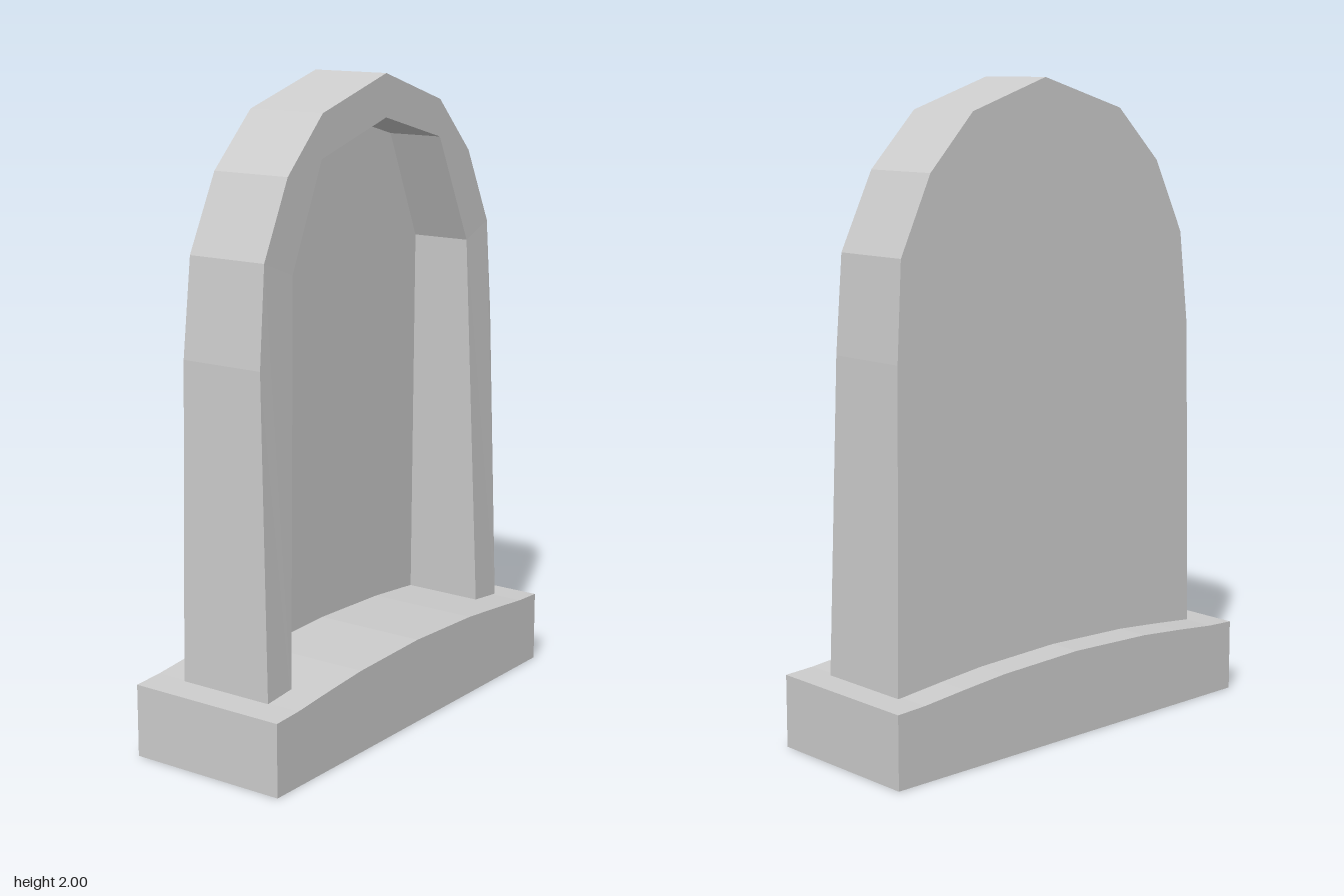
import * as THREE from 'three';

const material = new THREE.MeshStandardMaterial({ color: 0xcccccc, flatShading: true });

// Side outlines as [z, y]
const outer = [
  [0.615, 0.2], [0.61, 1.21], [0.58, 1.51], [0.47, 1.74], [0.305, 1.905], [-0.01, 2],
  [-0.3, 1.905], [-0.465, 1.735], [-0.58, 1.5], [-0.6, 1.2], [-0.625, 0.2],
];
const inner = [
  [0.505, 0.2], [0.45, 1.46], [0.31, 1.775], [-0.01, 1.87], [-0.3, 1.79], [-0.46, 1.45], [-0.507, 0.2],
];
const plinth = [
  [0.71, 0], [0.71, 0.226], [0.61, 0.231], [0.46, 0.246], [0.3, 0.26], [0, 0.27],
  [-0.3, 0.26], [-0.46, 0.246], [-0.61, 0.231], [-0.71, 0.226], [-0.71, 0],
];

// The slab's three leaning planes: x as a function of height
const rearX = (y) => -0.16 + 0.03 * (y - 0.2) / 1.8;
const recessX = (y) => -0.105 + 0.033 * (y - 0.25);
const faceX = (y) => 0.157 - 0.027 * Math.min(1, (y - 0.2) / 1.26);

// Extrudes a side outline across x, each side following its own plane
function slab(name, outline, fromX, toX) {
  const shape = new THREE.Shape(outline.map(([z, y]) => new THREE.Vector2(-z, y)));
  const geometry = new THREE.ExtrudeGeometry(shape, { depth: 1, bevelEnabled: false });
  geometry.rotateY(Math.PI / 2);
  const p = geometry.attributes.position;
  for (let i = 0; i < p.count; i++) {
    const y = p.getY(i);
    p.setX(i, THREE.MathUtils.lerp(fromX(y), toX(y), p.getX(i)));
  }
  geometry.computeVertexNormals();
  const mesh = new THREE.Mesh(geometry, material);
  mesh.name = name;
  return mesh;
}

export function createModel() {
  const group = new THREE.Group();
  group.name = 'gravestone';
  group.add(
    // Plinth with a gently arched top
    slab('base', plinth, () => -0.2625, () => 0.2625),
    // Solid rear panel
    slab('backPanel', outer, rearX, recessX),
    // Arched rim around the recess, open at the foot
    slab('archFrame', [...outer, ...[...inner].reverse()], recessX, faceX),
  );
  return group;
}
